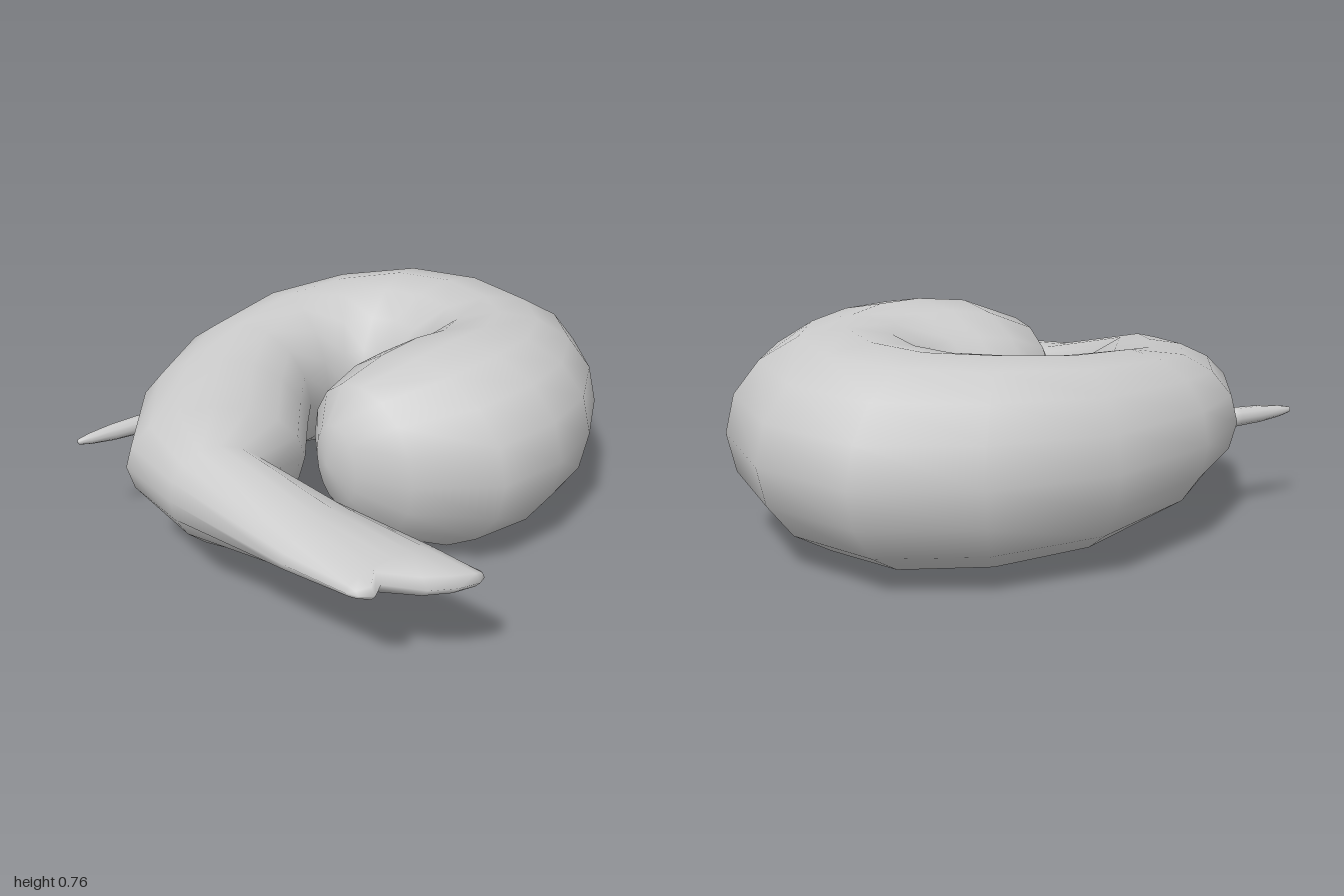
import * as THREE from 'three';
import { mergeVertices } from 'three/addons/utils/BufferGeometryUtils.js';

const SIDES = 16;
const MID_Y = 0.385;

// Cross-sections along the curl: outer x, z, inner x, z, half height
const SECTIONS = [
  [-0.37, 0.1, -0.37, 0.1, 0],
  [-0.345, 0.24, -0.34, 0.0, 0.15],
  [-0.24, 0.42, -0.26, -0.13, 0.28],
  [0.02, 0.6, -0.13, -0.195, 0.355],
  [0.3, 0.58, -0.02, -0.205, 0.378],
  [0.54, 0.48, 0.06, -0.165, 0.375],
  [0.77, 0.28, 0.15, -0.19, 0.365],
  [0.94, 0.02, 0.17, -0.27, 0.355],
  [0.975, -0.41, 0.165, -0.35, 0.35],
  [0.82, -0.77, 0.14, -0.39, 0.345],
  [0.46, -0.96, 0.08, -0.415, 0.335],
  [0.02, -1.0, 0.0, -0.415, 0.315],
  [-0.42, -0.85, -0.12, -0.36, 0.29],
  [-0.69, -0.66, -0.23, -0.22, 0.25],
  [-0.93, -0.31, -0.39, 0.0, 0.212],
  [-0.93, 0.0, -0.605, 0.15, 0.185],
  [-0.85, 0.55, -0.49, 0.48, 0.075],
  [-0.79, 0.8, -0.425, 0.78, 0.047],
];

// Notched edge of the tail fin, from outer to inner side
const FIN_EDGE = [
  [-0.79, 0.8], [-0.77, 0.84], [-0.73, 0.87], [-0.68, 0.83], [-0.59, 0.94],
  [-0.51, 0.985], [-0.44, 1.0], [-0.41, 0.985], [-0.395, 0.95],
];

function bodyGeometry() {
  const positions = [];
  const index = [];
  const angle = (j) => (j / SIDES) * Math.PI * 2;

  for (const [ox, oz, ix, iz, h] of SECTIONS) {
    for (let j = 0; j < SIDES; j++) {
      const t = (1 - Math.cos(angle(j))) / 2;
      positions.push(ox + (ix - ox) * t, MID_Y + h * Math.sin(angle(j)), oz + (iz - oz) * t);
    }
  }
  // Thin fin rim, then the closing edge
  for (const [h, back] of [[0.032, 0.03], [0, 0]]) {
    for (let j = 0; j < SIDES; j++) {
      const [x, z] = FIN_EDGE[j <= SIDES / 2 ? j : SIDES - j];
      const y = h === 0 ? 0 : h * Math.sin(angle(j));
      positions.push(x, MID_Y + y, z - back * Math.abs(Math.sin(angle(j))));
    }
  }
  const rings = SECTIONS.length + 2;
  for (let i = 0; i < rings - 1; i++) {
    for (let j = 0; j < SIDES; j++) {
      const k = (j + 1) % SIDES;
      const a = i * SIDES + j, b = i * SIDES + k;
      const c = a + SIDES, d = b + SIDES;
      index.push(a, c, b, b, c, d);
    }
  }
  const geometry = new THREE.BufferGeometry();
  geometry.setAttribute('position', new THREE.Float32BufferAttribute(positions, 3));
  geometry.setIndex(index);
  const welded = mergeVertices(geometry, 1e-4);
  welded.computeVertexNormals();
  return welded;
}

export function createModel() {
  const group = new THREE.Group();
  group.name = 'curledTail';
  const material = new THREE.MeshStandardMaterial({ color: 0xcccccc });

  const body = new THREE.Mesh(bodyGeometry(), material);
  body.name = 'curledBody';
  group.add(body);

  // Small pointed spine on the outer side
  const profile = [[0, 0], [0.034, 0.01], [0.034, 0.06], [0.03, 0.16], [0.02, 0.25], [0.01, 0.295], [0, 0.3]];
  const spine = new THREE.Mesh(
    new THREE.LatheGeometry(profile.map(([r, y]) => new THREE.Vector2(r, y)), 10),
    material,
  );
  spine.name = 'spine';
  spine.rotation.z = Math.PI / 2;
  spine.position.set(-0.68, MID_Y, -0.595);
  group.add(spine);

  return group;
}
